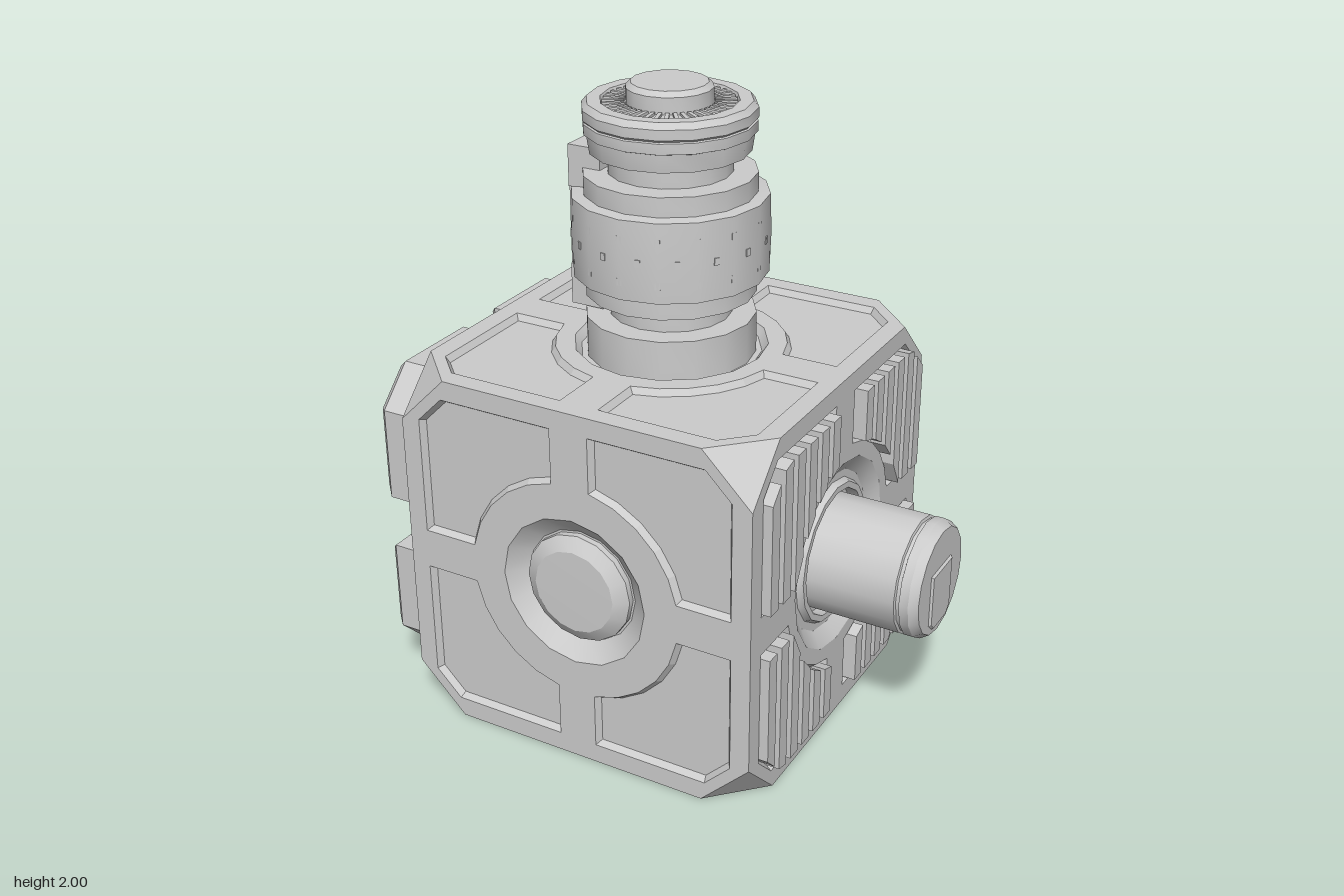
import * as THREE from 'three';
import { toCreasedNormals } from 'three/addons/utils/BufferGeometryUtils.js';

const metal = new THREE.MeshStandardMaterial({ color: 0xcccccc });
metal.name = 'grey metal';

const H = 0.593, CUT = 0.16, CX = -0.088;   // cube half size, corner cut, cube centre
const SEG = 16;

function add(parent, name, geometry, x = 0, y = 0, z = 0) {
  const m = new THREE.Mesh(geometry, metal);
  m.name = name;
  m.position.set(x, y, z);
  parent.add(m);
  return m;
}

// Turned part about y, with crisp edges along its profile
function turned(profile) {
  const g = new THREE.LatheGeometry(profile.map(p => new THREE.Vector2(...p)), SEG);
  return toCreasedNormals(g, 0.45);
}

function flat(positions) {
  const g = new THREE.BufferGeometry();
  g.setAttribute('position', new THREE.Float32BufferAttribute(positions, 3));
  g.computeVertexNormals();
  return g;
}

// Move every edge of a counter-clockwise outline inward by d
function inset(pts, d) {
  return pts.map((p, i) => {
    const a = pts[(i + pts.length - 1) % pts.length], b = pts[(i + 1) % pts.length];
    const e = p.clone().sub(a).normalize(), f = b.clone().sub(p).normalize();
    const n = new THREE.Vector2(-e.y - f.y, e.x + f.x);
    return p.clone().addScaledVector(n, d / (1 + e.dot(f)));
  });
}

// Walls through [inset, height] levels, closed at the last one; works raised or sunk
function stepped(outline, levels) {
  const rings = levels.map(([d, z]) => inset(outline, d).map(p => [p.x, p.y, z]));
  const pos = [];
  for (let k = 0; k + 1 < rings.length; k++) {
    outline.forEach((_, i) => {
      const j = (i + 1) % outline.length, A = rings[k], B = rings[k + 1];
      pos.push(...A[i], ...A[j], ...B[j], ...A[i], ...B[j], ...B[i]);
    });
  }
  const last = levels[levels.length - 1];
  const cap = new THREE.ShapeGeometry(new THREE.Shape(inset(outline, last[0]))).toNonIndexed();
  cap.translate(0, 0, last[1]);
  pos.push(...cap.attributes.position.array);
  return flat(pos);
}

// Quarter outline: cut outer corner, curved bite around the middle
function quarter(lo, hi, cut, r, turn) {
  const a0 = Math.asin(lo / r), n = 5, pts = [];
  pts.push([hi, lo], [hi, hi - cut], [hi - cut, hi], [lo, hi]);
  for (let i = 0; i <= n; i++) {
    const a = Math.PI / 2 - a0 - (Math.PI / 2 - 2 * a0) * i / n;
    pts.push([r * Math.cos(a), r * Math.sin(a)]);
  }
  return pts.map(p => new THREE.Vector2(...p).rotateAround(new THREE.Vector2(), turn * Math.PI / 2));
}

const circle = r => Array.from({ length: SEG }, (_, i) => {
  const a = i / SEG * Math.PI * 2;
  return new THREE.Vector2(r * Math.cos(a), r * Math.sin(a));
});

// One cube side facing local +z, with its quarter panels and turned centre
function side(name, rx, ry, centre, blocks = false) {
  const g = new THREE.Group();
  g.name = name;
  g.rotation.set(rx, ry, 0);
  g.translateZ(H);
  const k = H - CUT;
  const shape = new THREE.Shape([[H, -k], [H, k], [k, H], [-k, H], [-H, k], [-H, -k], [-k, -H], [k, -H]]
    .map(p => new THREE.Vector2(...p)));
  shape.holes.push(new THREE.Path(circle(centre[0][0])));
  for (let q = 0; q < 4; q++) {
    if (blocks) {
      add(g, 'raisedBlock', stepped(quarter(0.088, 0.512, 0.12, 0.34, q), [[0, 0], [0, 0.135], [0.028, 0.164]]));
    } else {
      const pts = quarter(0.064, 0.53, 0.085, 0.357, q);
      shape.holes.push(new THREE.Path(pts));
      add(g, 'sunkenPanel', stepped(pts, [[0, 0], [0.013, -0.02]]));
    }
  }
  add(g, 'sideFace', new THREE.ShapeGeometry(shape));
  add(g, 'centreFitting', turned(centre)).rotation.x = Math.PI / 2;
  return g;
}

// Vertical slats filling the four panels of one side
function addSlats(g) {
  for (const sx of [-1, 1]) for (const sy of [-1, 1]) for (let i = 0; i < 6; i++) {
    const u = 0.118 + 0.0775 * i, w = 0.024;
    const low = x => Math.max(0.075, Math.sqrt(Math.max(0, 0.365 ** 2 - x * x)));
    const high = x => Math.min(0.52, 0.96 - x);
    const pts = [[u - w, low(u - w)], [u + w, low(u + w)], [u + w, high(u + w)], [u - w, high(u - w)]]
      .map(([x, y]) => new THREE.Vector2(x * sx, y * sy));
    if (sx * sy < 0) pts.reverse();
    add(g, 'slat', stepped(pts, [[0, -0.02], [0, 0.03]]));
  }
}

function tower() {
  const g = new THREE.Group();
  g.name = 'tower';
  g.position.x = CX;
  add(g, 'towerBody', turned([
    [0.262, 1.15], [0.262, 1.29], [0.188, 1.29], [0.188, 1.36], [0.262, 1.36], [0.262, 1.42],
    [0.298, 1.425], [0.302, 1.55], [0.298, 1.67], [0.262, 1.675], [0.262, 1.735], [0.188, 1.735],
    [0.188, 1.8], [0.242, 1.8], [0.25, 1.855], [0.258, 1.858], [0.258, 1.89], [0.253, 1.893],
    [0.26, 1.9], [0.26, 1.93], [0.245, 1.948], [0.205, 1.948], [0.2, 1.935], [0.13, 1.935],
    [0.13, 1.985], [0.115, 2], [0, 2]]));

  // Fine radial ridges around the top knob
  for (let i = 0; i < 40; i++) {
    const a = i / 40 * Math.PI * 2;
    const m = add(g, 'topRidge', new THREE.BoxGeometry(0.065, 0.01, 0.012), 0.165 * Math.cos(a), 1.938, -0.165 * Math.sin(a));
    m.rotation.y = a;
  }
  // Staggered grip studs on the drum
  for (let row = 0; row < 3; row++) for (let i = 0; i < 16; i++) {
    const a = (i + (row % 2) / 2) / 16 * Math.PI * 2;
    if (Math.cos(a) < -0.9) continue;
    const m = add(g, 'gripStud', new THREE.BoxGeometry(0.01, 0.022, 0.016), 0.294 * Math.cos(a), 1.48 + row * 0.065, -0.294 * Math.sin(a));
    m.rotation.y = a;
  }
  // Control bracket with a keypad
  for (const y of [1.36, 1.735]) {
    add(g, 'bracketEnd', new THREE.BoxGeometry(0.11, 0.13, 0.24), -0.225, y, 0);
    add(g, 'bracketTab', new THREE.BoxGeometry(0.02, 0.1, 0.16), -0.28, y, 0);
    add(g, 'bracketLatch', new THREE.BoxGeometry(0.012, 0.04, 0.06), -0.29, y, 0);
  }
  add(g, 'keypadPlate', new THREE.BoxGeometry(0.08, 0.27, 0.2), -0.25, 1.547, 0);
  for (let r = 0; r < 4; r++) for (let c = -1; c <= 1; c++) {
    add(g, 'key', new THREE.BoxGeometry(0.014, 0.045, 0.045), -0.292, 1.46 + r * 0.058, c * 0.058);
  }
  return g;
}

export function createModel() {
  const model = new THREE.Group();
  model.name = 'cubeModule';
  const cube = new THREE.Group();
  cube.name = 'cube';
  cube.position.set(CX, H, 0);
  model.add(cube);

  const hub = [[0.245, 0], [0.185, -0.05], [0.178, -0.05], [0.178, -0.03], [0.135, -0.003], [0, -0.001]];
  // Funnel of shrinking steps
  const socket = [[0.29, 0], [0.275, -0.025], [0.25, -0.025], [0.245, -0.01], [0.225, -0.01]];
  for (let i = 0; i < 6; i++) socket.push([0.215 - i * 0.022, -0.05 - i * 0.04], [0.195 - i * 0.022, -0.05 - i * 0.04]);
  socket.push([0, -0.25]);
  const post = [[0.31, 0], [0.26, -0.035], [0.235, -0.035], [0.225, -0.015], [0.205, -0.015], [0.2, -0.05],
    [0.187, -0.05], [0.187, 0.26], [0.178, 0.263], [0.178, 0.273], [0.187, 0.276], [0.187, 0.305], [0.17, 0.332], [0, 0.332]];
  const collar = [[0.3, 0], [0.28, -0.025], [0.25, -0.025], [0, -0.025]];

  const P = Math.PI;
  const slatted = side('slattedSide', 0, P / 2, post);
  addSlats(slatted);
  // Keyed plate on the end of the post
  const key = [[-0.05, -0.145], [0.05, -0.145], [0.077, -0.118], [0.077, 0.052], [-0.077, 0.052], [-0.077, -0.118]]
    .map(p => new THREE.Vector2(...p));
  add(slatted, 'postKey', stepped(key, [[0, 0.332], [0.006, 0.339]]));

  cube.add(
    side('frontSide', 0, 0, hub),
    side('backSide', 0, P, hub),
    slatted,
    side('blockSide', 0, -P / 2, socket, true),
    side('topSide', -P / 2, 0, collar),
    side('bottomSide', P / 2, 0, socket));

  // Cut corners
  const k = H - CUT;
  for (const x of [-1, 1]) for (const y of [-1, 1]) for (const z of [-1, 1]) {
    const t = [[x * k, y * H, z * H], [x * H, y * k, z * H], [x * H, y * H, z * k]];
    if (x * y * z < 0) t.reverse();
    add(cube, 'cutCorner', flat(t.flat()));
  }

  model.add(tower());
  return model;
}
